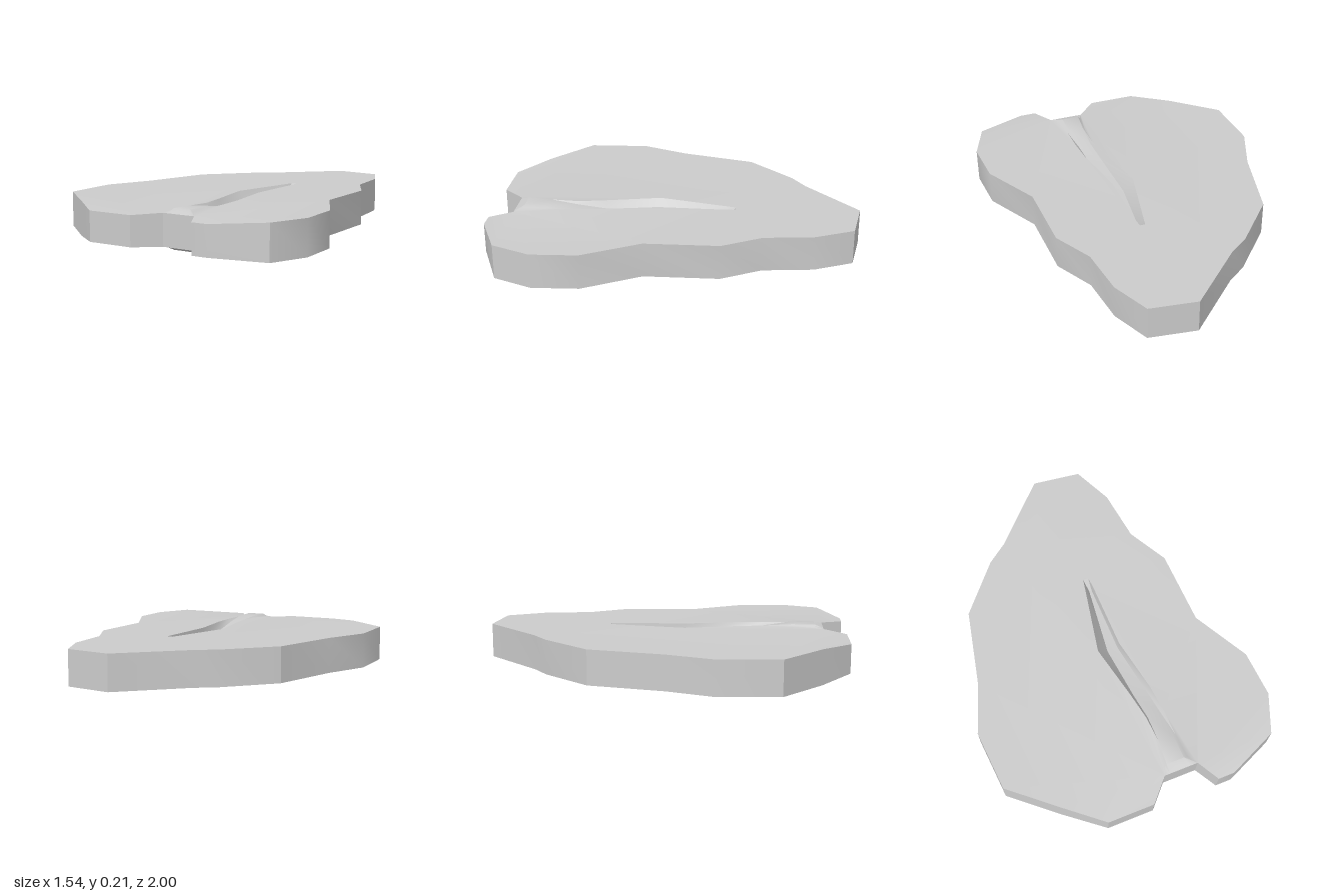
import * as THREE from 'three';
import { toCreasedNormals } from 'three/addons/utils/BufferGeometryUtils.js';

const HEIGHT = 0.21, TOP = 0.2, LIP = 0.185;

// rim of the slab seen from above, [x, z, top height], from the left of the notch round to its right
const rim = [
  [0.07, 0.88, 0.19], [-0.04, 1, LIP], [-0.3, 1, LIP], [-0.5, 0.84], [-0.75, 0.63], [-0.775, 0.3],
  [-0.68, 0.04], [-0.59, -0.37], [-0.37, -0.62], [-0.26, -0.7], [0.04, -1], [0.3, -0.965],
  [0.4, -0.76], [0.44, -0.49], [0.56, -0.28], [0.58, 0.12], [0.75, 0.42], [0.77, 0.67],
  [0.69, 0.88], [0.42, 1, LIP], [0.33, 1, LIP], [0.26, 0.88, 0.19],
].map(([x, z, y = TOP]) => new THREE.Vector3(x, y, z));

// groove sections: z, outer left, floor left, floor right, outer right, floor height, edge height
const sections = [
  [-0.325, 0.08, 0.085, 0.11, 0.115, TOP, TOP],
  [-0.27, 0.07, 0.095, 0.11, 0.116, 0.14, TOP],
  [0.1, 0, 0.058, 0.118, 0.125, 0.13, TOP],
  [0.4, 0.07, 0.09, 0.165, 0.187, 0.16, TOP],
  [0.55, 0.1, 0.11, 0.185, 0.203, 0.185, TOP],
  [0.7, 0.1, 0.11, 0.195, 0.21, 0.207, TOP],
  [0.83, 0.09, 0.1, 0.2, 0.22, HEIGHT, TOP],
  [0.88, 0.07, 0.1, 0.22, 0.26, 0.19, 0.19],
].map(([z, a, b, c, d, floor, edge]) => [
  new THREE.Vector3(a, edge, z), new THREE.Vector3(b, floor, z),
  new THREE.Vector3(c, floor, z), new THREE.Vector3(d, edge, z),
]);

const mirrored = (p) => new THREE.Vector3(p.x, HEIGHT - p.y, p.z);

function meshFrom(name, triangles) {
  const geometry = new THREE.BufferGeometry().setFromPoints(triangles.flat());
  const material = new THREE.MeshStandardMaterial({ color: 0xcccccc });
  const mesh = new THREE.Mesh(toCreasedNormals(geometry, 0.5), material);
  mesh.name = name;
  return mesh;
}

// orders a triangle so that it faces up
function facingUp([a, b, c]) {
  const n = b.clone().sub(a).cross(c.clone().sub(a));
  return n.y < 0 ? [a, c, b] : [a, b, c];
}

// fills a polygon seen from above
function fill(points) {
  const flat = points.map((p) => new THREE.Vector2(p.x, p.z));
  return THREE.ShapeUtils.triangulateShape(flat, []).map((f) => facingUp(f.map((i) => points[i])));
}

export function createModel() {
  const group = new THREE.Group();
  group.name = 'groovedSlab';

  // flat plate around the groove, plus the two drooping front lobes
  const grooveLeft = sections.slice(0, -1).map((s) => s[0]);
  const grooveRight = sections.slice(0, -1).map((s) => s[3]);
  const last = rim.length - 1;
  const face = [
    ...fill([rim[0], ...rim.slice(3, last - 2), rim[last], ...grooveRight.reverse(), ...grooveLeft]),
    ...fill(rim.slice(0, 4)),
    ...fill(rim.slice(last - 3)),
  ];

  // groove walls and floor, rising into the raised stem at the notch
  for (let i = 0; i < sections.length - 1; i++) {
    for (let j = 0; j < 3; j++) {
      const [a, b] = [sections[i][j], sections[i][j + 1]];
      const [c, d] = [sections[i + 1][j + 1], sections[i + 1][j]];
      face.push(facingUp([a, b, c]), facingUp([a, c, d]));
    }
  }
  group.add(meshFrom('topFace', face));
  group.add(meshFrom('bottomFace', face.map(([a, b, c]) => [a, c, b].map(mirrored))));

  // side wall round the rim, closed across the notch
  const wall = [];
  rim.forEach((a, i) => {
    const b = rim[(i + 1) % rim.length];
    wall.push([a, b, mirrored(a)], [b, mirrored(b), mirrored(a)]);
  });
  group.add(meshFrom('sideWall', wall));
  return group;
}
